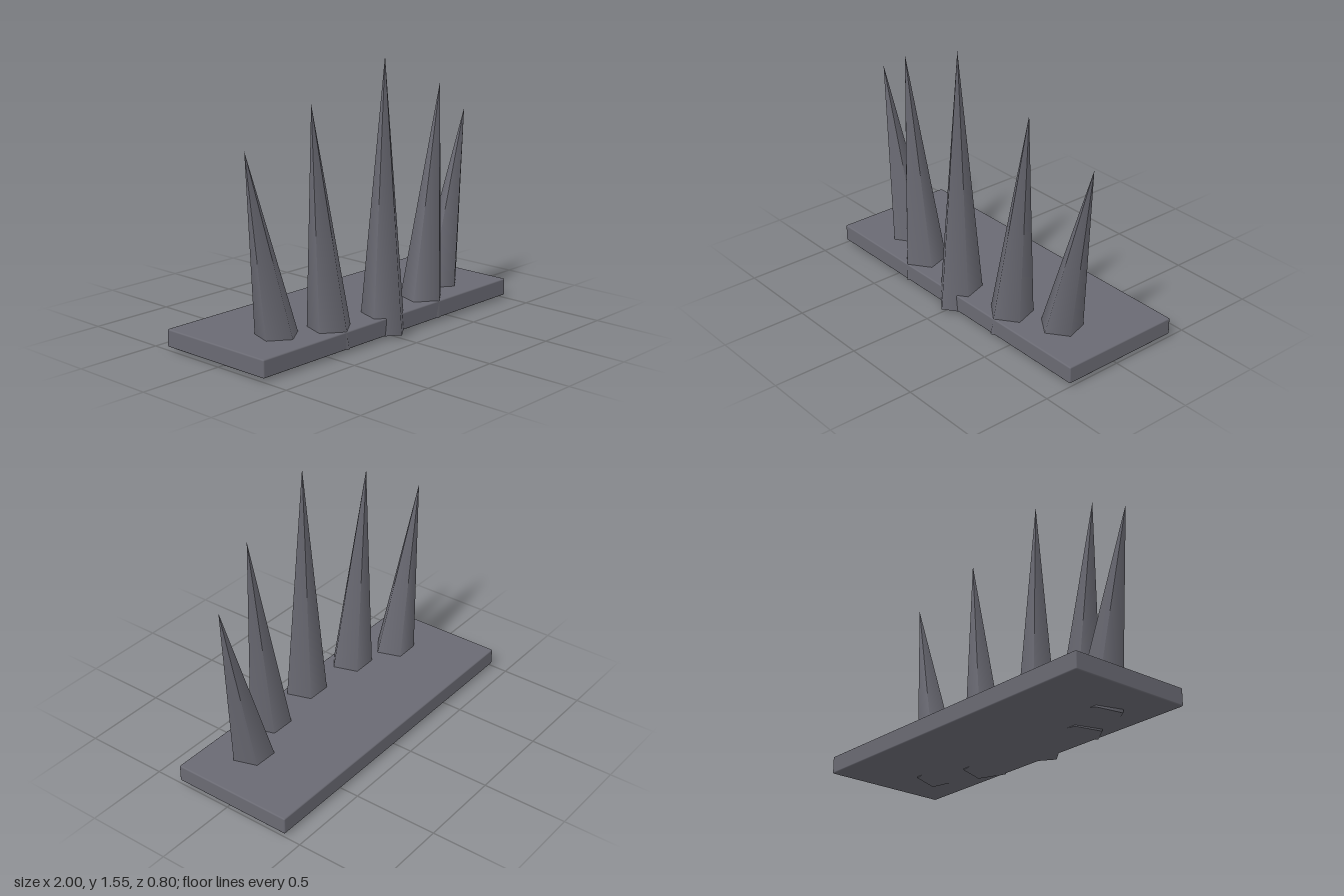
import * as THREE from 'three';
import { RoundedBoxGeometry } from 'three/addons/geometries/RoundedBoxGeometry.js';

export function createModel() {
  const model = new THREE.Group();
  model.name = 'spikeTrap';
  const darkMetal = new THREE.MeshStandardMaterial({ color: 0x6a6a73 });
  darkMetal.name = 'darkMetal';

  // base plate with finely eased edges
  const plate = new THREE.Mesh(new RoundedBoxGeometry(2, 0.1, 0.74, 2, 0.008), darkMetal);
  plate.name = 'basePlate';
  plate.position.set(0, 0.07, -0.03);
  model.add(plate);

  // five-sided spike standing on its base centre and leaning sideways
  function addSpike(name, x, y, z, radius, height, lean) {
    const geometry = new THREE.ConeGeometry(radius, height, 5);
    geometry.translate(0, height / 2, 0);
    const spike = new THREE.Mesh(geometry, darkMetal);
    spike.name = name;
    spike.position.set(x, y, z);
    spike.rotation.z = -lean;
    model.add(spike);
  }

  addSpike('centreSpike', 0, 0.02, 0.26, 0.135, 1.53, 0);
  // mirrored pairs fan outwards
  for (const side of [1, -1]) {
    const label = side > 0 ? 'left' : 'right';
    addSpike(label + 'InnerSpike', side * 0.375, 0.022, 0.215, 0.135, 1.335, side * 0.108);
    addSpike(label + 'OuterSpike', side * 0.65, 0.027, 0.1, 0.131, 1.137, side * 0.208);
  }
  return model;
}
